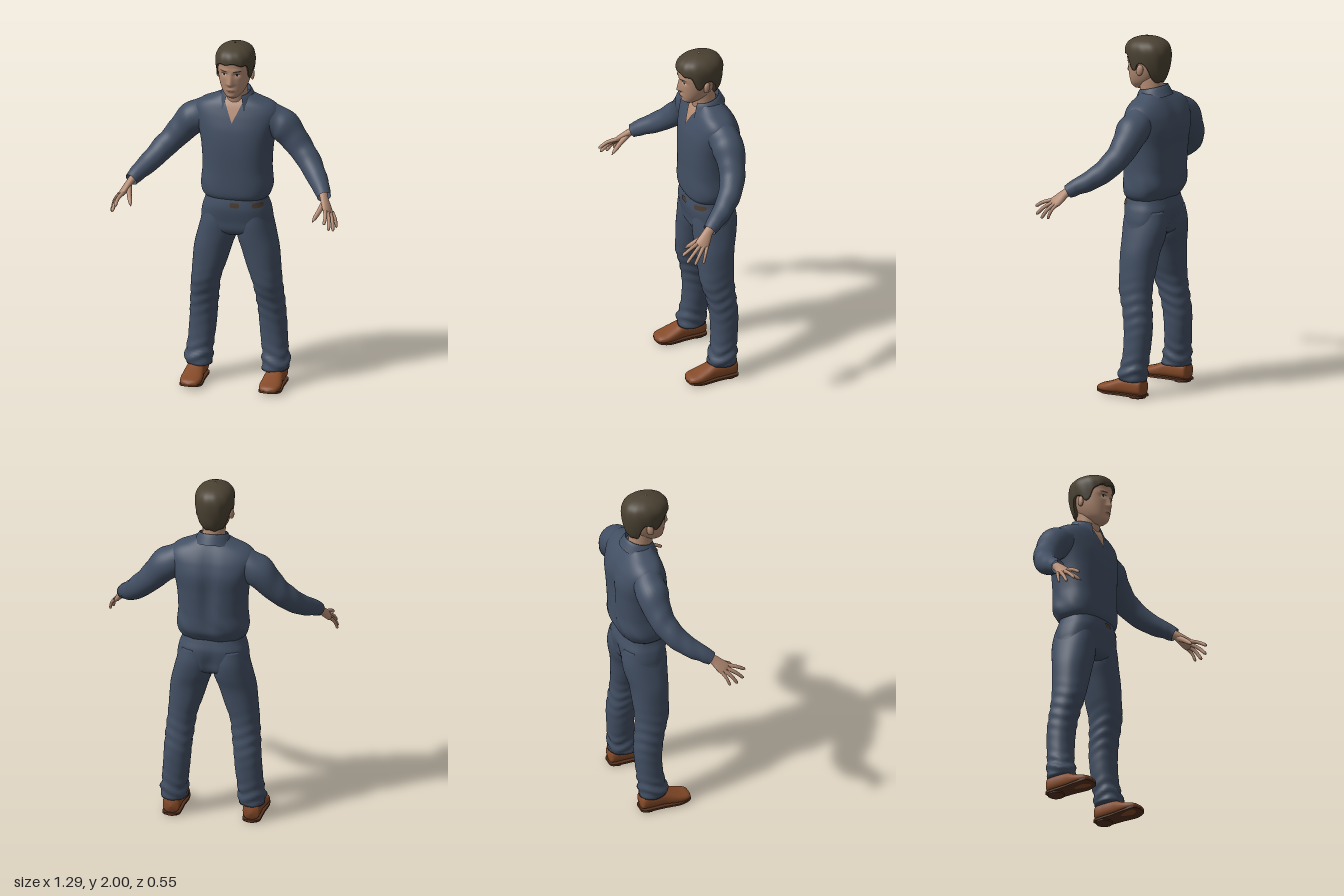
import * as THREE from 'three';

const V = (p) => new THREE.Vector3(...p);
const gauss = (d, w) => Math.exp(-(d * d) / (w * w));

// Smooth closed or open surface from a rule fn(u, v) -> [x, y, z]
function grid(nu, nv, fn, closed = true) {
  const pos = [], idx = [], cols = closed ? nu : nu + 1;
  for (let j = 0; j <= nv; j++) for (let i = 0; i < cols; i++) pos.push(...fn(i / nu, j / nv));
  for (let j = 0; j < nv; j++) for (let i = 0; i < nu; i++) {
    const a = j * cols + i, b = j * cols + ((i + 1) % cols), c = b + cols, d = a + cols;
    idx.push(a, b, c, a, c, d);
  }
  const g = new THREE.BufferGeometry();
  g.setAttribute('position', new THREE.Float32BufferAttribute(pos, 3));
  g.setIndex(idx);
  g.computeVertexNormals();
  return g;
}

// Smooth lookup in a table whose rows start with a rising key
function sample(table, k) {
  let i = 0;
  while (i < table.length - 2 && k > table[i + 1][0]) i++;
  const a = table[i], b = table[i + 1], p = table[i - 1] || a, n = table[i + 2] || b;
  const h = b[0] - a[0], t = Math.min(1, Math.max(0, (k - a[0]) / h));
  return a.slice(1).map((_, c) => {
    c += 1;
    const m0 = (b[c] - p[c]) / (b[0] - p[0]) * h, m1 = (n[c] - a[c]) / (n[0] - a[0]) * h;
    const t2 = t * t, t3 = t2 * t;
    return (2 * t3 - 3 * t2 + 1) * a[c] + (t3 - 2 * t2 + t) * m0 + (3 * t2 - 2 * t3) * b[c] + (t3 - t2) * m1;
  });
}

// Point on a horizontal ring; rows are [y, centre x, half width, front z, back z]
function ringPoint(table, p, u, y, grow = 1) {
  const [cx, hw, f, b] = sample(table, y), a = u * Math.PI * 2, s = Math.sin(a), c = Math.cos(a);
  const e = 2 / p;
  return [cx + grow * hw * Math.sign(s) * Math.abs(s) ** e, y,
    (f + b) / 2 + grow * (f - b) / 2 * Math.sign(c) * Math.abs(c) ** e];
}

// Body loft with closed ends and an optional rule for moving each point
function body(table, p, nu, nv, move = (q) => q) {
  const y0 = table[0][0], y1 = table[table.length - 1][0];
  return grid(nu, nv + 2, (u, v) => {
    const j = Math.round(v * (nv + 2)) - 1;
    const y = y0 + (y1 - y0) * Math.min(1, Math.max(0, j / nv));
    return j < 0 || j > nv ? ringPoint(table, p, u, y, 0) : move(ringPoint(table, p, u, y), u);
  });
}

function frontZ(table, p, x, y) {
  const [cx, hw, f, b] = sample(table, y);
  return (f + b) / 2 + (f - b) / 2 * (1 - Math.min(1, Math.abs((x - cx) / hw)) ** p) ** (1 / p);
}

// Thin oval or squarish plate lying on a front surface
function plate(surface, cx, cy, hw, hh, lift, e = 2, tilt = 0) {
  return grid(14, 4, (u, v) => {
    const t = u * 2 - 1, x = cx + t * hw;
    const y = cy + (v * 2 - 1) * hh * Math.sqrt(1 - Math.abs(t) ** e) + tilt * t * hw;
    return [x, y, surface(x, y) + lift];
  }, false);
}

// Tube along points with radii [across, thick]; ref sets the across direction
function limb(points, radii, ref, nu, nv, wrinkle = 0) {
  const curve = new THREE.CatmullRomCurve3(points.map(V));
  const table = radii.map((r, i) => [i / (radii.length - 1), ...[r].flat(), [r].flat()[0]]);
  return grid(nu, nv, (u, v) => {
    const T = curve.getTangent(v), N = V(ref).addScaledVector(T, -V(ref).dot(T)).normalize();
    const B = new THREE.Vector3().crossVectors(T, N), [rn, rb] = sample(table, v), a = u * Math.PI * 2;
    const k = 1 + wrinkle * Math.sin(v * 38 + 2 * Math.sin(a + 1)) * (0.4 + 0.6 * Math.sin(a + v * 5));
    return curve.getPoint(v).addScaledVector(N, rn * k * Math.cos(a)).addScaledVector(B, rb * k * Math.sin(a)).toArray();
  });
}

function mirrored(g) {
  const m = g.clone().scale(-1, 1, 1);
  const idx = m.index ? Array.from(m.index.array) : Array.from({ length: m.attributes.position.count }, (_, i) => i);
  for (let i = 0; i < idx.length; i += 3) [idx[i + 1], idx[i + 2]] = [idx[i + 2], idx[i + 1]];
  m.setIndex(idx);
  return m;
}

export function createModel() {
  const root = new THREE.Group();
  const material = (name, color) => Object.assign(new THREE.MeshStandardMaterial({ color, side: THREE.DoubleSide }), { name });
  const cloth = material('blueCloth', 0x424f63), skin = material('skin', 0xb48c74), hairMat = material('brownHair', 0x4a4132);
  const leather = material('shoeLeather', 0x854a28), soleMat = material('darkSole', 0x54301d), lipMat = material('lips', 0x96695a);
  const white = material('eyeWhite', 0xc9beb4), dark = material('darkEye', 0x2b221c), belt = material('beltBrown', 0x4b3b2e);
  const add = (name, g, m) => {
    const mesh = new THREE.Mesh(g, m);
    mesh.name = name;
    root.add(mesh);
  };
  const pair = (name, g, m) => { add(name + 'Left', g, m); add(name + 'Right', mirrored(g), m); };

  // Shirt with a bloused hem, soft folds and a groove down the back
  const shirt = [[1.095, 0, 0.165, 0.01, -0.22], [1.12, 0, 0.188, 0.025, -0.238], [1.17, 0, 0.2, 0.03, -0.262],
    [1.27, 0, 0.192, 0.03, -0.268], [1.4, 0, 0.2, 0.03, -0.275], [1.5, 0, 0.22, 0.02, -0.278], [1.57, 0, 0.238, 0, -0.258],
    [1.61, 0, 0.235, -0.015, -0.238], [1.645, 0, 0.2, -0.03, -0.215], [1.67, 0, 0.14, -0.045, -0.195], [1.7, 0, 0.075, -0.055, -0.175]];
  add('shirt', body(shirt, 2.5, 72, 60, ([x, y, z], u) => {
    const back = Math.max(0, -Math.cos(u * Math.PI * 2)), low = gauss(y - 1.16, 0.09), a = u * Math.PI * 2;
    const k = 1 + 0.02 * low * Math.sin(a * 7 + y * 40) * Math.sin(a * 3 + 1);
    return [x * k, y, z * k + back * 0.022 * gauss(x, 0.04) * gauss(y - 1.4, 0.2)];
  }), cloth);
  const shirtZ = (x, y) => frontZ(shirt, 2.5, x, y);

  // Open neckline
  add('openNeckline', grid(10, 14, (u, v) => {
    const y = 1.55 + 0.135 * v, x = (u * 2 - 1) * 0.06 * v;
    return [x, y, shirtZ(x, y) + 0.005];
  }, false), skin);

  // Folded collar
  add('collar', grid(48, 6, (u, v) => {
    const a = 0.55 + u * (2 * Math.PI - 1.1), f = (1 - Math.cos(a)) / 2;
    const [r, rz, y] = sample([[0, 0.07, 0.068, 1.66 + 0.02 * f], [0.35, 0.074, 0.072, 1.695 + 0.04 * f],
      [0.5, 0.08, 0.078, 1.695 + 0.04 * f], [1, 0.112, 0.108, 1.615 + 0.065 * f]], v);
    return [r * Math.sin(a), y, -0.108 + rz * Math.cos(a)];
  }, false), cloth);

  // Sleeves
  const sleeve = [[0.17, 1.56, -0.13], [0.26, 1.51, -0.135], [0.34, 1.42, -0.125], [0.41, 1.345, -0.09],
    [0.475, 1.275, -0.02], [0.525, 1.23, 0.055], [0.55, 1.202, 0.098]];
  pair('sleeve', limb(sleeve, [0.085, 0.09, 0.074, 0.066, 0.057, 0.046, 0.038], [0, 1, 0], 32, 60, 0.035), cloth);

  // Hands: palm, four fingers and thumb
  pair('palm', limb([[0.54, 1.215, 0.08], [0.556, 1.19, 0.112], [0.575, 1.16, 0.14], [0.59, 1.137, 0.163], [0.597, 1.125, 0.173]],
    [[0.026, 0.022], [0.028, 0.02], [0.036, 0.019], [0.037, 0.015], [0.012, 0.004]], [-0.4, 0.35, 0.85], 20, 20), skin);
  const tips = [[0.595, 1.105, 0.28], [0.617, 1.065, 0.262], [0.632, 1.05, 0.22], [0.64, 1.055, 0.172]];
  tips.forEach((tip, i) => {
    const t = i / 3, base = [0.575 + 0.03 * t, 1.152 - 0.018 * t, 0.178 - 0.042 * t];
    const mid = base.map((b, c) => (b + tip[c]) / 2 + [0.006, 0.006, 0.002][c]);
    const r = i === 3 ? 0.0085 : 0.01;
    const near = tip.map((q, c) => q * 0.85 + mid[c] * 0.15);
    pair('finger' + (i + 1), limb([base, mid, near, tip], [r * 1.15, r, r * 0.85, 0.001], [0, 1, 0], 12, 14), skin);
  });
  pair('thumb', limb([[0.556, 1.18, 0.118], [0.543, 1.148, 0.168], [0.526, 1.115, 0.212], [0.517, 1.096, 0.235]],
    [0.017, 0.014, 0.011, 0.001], [0, 1, 0], 12, 14), skin);

  // Trousers: hips and two legs
  const hips = [[0.885, 0, 0.1, -0.03, -0.19], [0.91, 0, 0.19, 0, -0.225], [0.97, 0, 0.2, 0.012, -0.24],
    [1.04, 0, 0.19, 0.024, -0.245], [1.08, 0, 0.176, 0.022, -0.235], [1.13, 0, 0.165, 0.012, -0.22]];
  add('trouserHips', body(hips, 2.5, 64, 24, ([x, y, z]) => [x, y, z < -0.12 ? z + 0.02 * gauss(x, 0.03) * gauss(y - 0.95, 0.07) : z]), cloth);
  const leg = [[0.095, 0.216, 0.072, -0.035, -0.195], [0.13, 0.22, 0.077, -0.035, -0.198], [0.2, 0.213, 0.073, -0.052, -0.202],
    [0.3, 0.203, 0.075, -0.06, -0.21], [0.4, 0.196, 0.076, -0.055, -0.215], [0.5, 0.187, 0.078, -0.038, -0.206],
    [0.6, 0.175, 0.081, -0.01, -0.2], [0.7, 0.154, 0.094, -0.003, -0.206], [0.8, 0.134, 0.105, 0.002, -0.216],
    [0.88, 0.112, 0.109, 0.006, -0.236], [0.96, 0.102, 0.098, 0.008, -0.246], [1.04, 0.098, 0.08, 0, -0.235]];
  pair('trouserLeg', body(leg, 2.2, 40, 70, ([x, y, z], u) => {
    const a = u * Math.PI * 2, w = 0.006 * gauss(y - 0.15, 0.07) + 0.003 * gauss(y - 0.5, 0.12);
    const k = w * Math.sin(y * 95 + 2 * Math.sin(a * 2));
    return [x + k * Math.sin(a), y, z + k * Math.cos(a)];
  }), cloth);
  const hipZ = (x, y) => frontZ(hips, 2.5, x, y);
  add('beltPatchCentre', plate(hipZ, 0.018, 1.076, 0.028, 0.014, 0.004, 6), belt);
  add('beltPatchSide', plate(hipZ, 0.14, 1.076, 0.028, 0.014, 0.004, 6), belt);

  // Shoes: rows are [z, half width, top height, underside height]
  const shoe = [[-0.2, 0.03, 0.09, 0.025], [-0.185, 0.046, 0.11, 0.016], [-0.13, 0.05, 0.115, 0.014], [-0.06, 0.052, 0.108, 0.014],
    [-0.01, 0.058, 0.086, 0.012], [0.04, 0.06, 0.066, 0.012], [0.08, 0.05, 0.054, 0.016], [0.095, 0.033, 0.044, 0.02], [0.1, 0.002, 0.033, 0.028]];
  pair('shoe', grid(28, 40, (u, v) => {
    const z = 0.1 - 0.3 * v, [hw, top, low] = sample(shoe, z), a = u * Math.PI * 2;
    const end = v === 1 ? 0 : 1, s = Math.sin(a), c = Math.cos(a);
    return [0.225 - end * hw * Math.sign(s) * Math.abs(s) ** 0.8 * -1, (top + low) / 2 + end * (top - low) / 2 * Math.sign(c) * Math.abs(c) ** 0.8, z];
  }), leather);
  const soleShape = new THREE.Shape(Array.from({ length: 41 }, (_, i) => {
    const t = i <= 20 ? i / 20 : (40 - i) / 20, z = -0.05 - 0.15 * Math.cos(Math.PI * t);
    return new THREE.Vector2((i <= 20 ? 1 : -1) * (sample(shoe, z)[0] + 0.002), -z);
  }));
  const sole = new THREE.ExtrudeGeometry(soleShape, { depth: 0.012, bevelEnabled: false });
  sole.rotateX(-Math.PI / 2).translate(0.225, 0.008, 0);
  const sp = sole.attributes.position;
  for (let i = 0; i < sp.count; i++) {
    const z = sp.getZ(i);
    sp.setY(i, sp.getY(i) + (z > 0.03 ? (z - 0.03) * 0.15 : 0));
  }
  sole.computeVertexNormals();
  pair('sole', sole, soleMat);
  pair('heel', new THREE.CylinderGeometry(0.046, 0.046, 0.02, 24).translate(0.225, 0.01, -0.15), soleMat);

  // Neck and head with brow, eye sockets, nose, lips and chin
  add('neck', body([[1.6, 0, 0.075, -0.045, -0.17], [1.68, 0, 0.064, -0.032, -0.165], [1.78, 0, 0.064, -0.02, -0.16]], 2, 32, 10), skin);
  const head = [[1.7, 0, 0.025, 0.012, -0.05], [1.715, 0, 0.042, 0.028, -0.075], [1.74, 0, 0.062, 0.034, -0.115], [1.78, 0, 0.079, 0.039, -0.15],
    [1.83, 0, 0.09, 0.043, -0.175], [1.88, 0, 0.094, 0.046, -0.185], [1.93, 0, 0.09, 0.043, -0.18], [1.97, 0, 0.065, 0.005, -0.14], [1.985, 0, 0.03, -0.04, -0.1]];
  const relief = (x, y) => {
    const ax = Math.abs(x), n = y > 1.79 ? Math.max(0, 1 - (y - 1.79) / 0.075) : Math.max(0, 1 - (1.79 - y) / 0.018);
    return 0.025 * n * gauss(x, 0.011 + 0.007 * n) + 0.004 * gauss(y - 1.868, 0.012) * gauss(ax - 0.03, 0.03)
      - 0.008 * gauss(ax - 0.036, 0.018) * gauss(y - 1.846, 0.013)
      + 0.006 * gauss(x, 0.022) * gauss(y - 1.752, 0.013) + 0.004 * gauss(x, 0.025) * gauss(y - 1.718, 0.013);
  };
  add('head', body(head, 2.2, 112, 64, ([x, y, z]) => [x, y, z > -0.05 ? z + relief(x, y) : z]), skin);
  const faceZ = (x, y) => frontZ(head, 2.2, x, y) + relief(x, y);
  pair('eyeWhite', plate(faceZ, 0.037, 1.845, 0.015, 0.007, 0.002), white);
  pair('iris', plate(faceZ, 0.037, 1.8455, 0.0065, 0.0065, 0.004), dark);
  pair('upperLid', plate(faceZ, 0.037, 1.8525, 0.017, 0.002, 0.004), dark);
  pair('eyebrow', plate(faceZ, 0.038, 1.868, 0.023, 0.004, 0.003, 2, 0.08), hairMat);
  add('lips', plate(faceZ, 0, 1.751, 0.024, 0.0075, 0.002), lipMat);
  add('mouthLine', plate(faceZ, 0, 1.752, 0.023, 0.0011, 0.004), belt);
  const ear = new THREE.SphereGeometry(1, 18, 14).scale(0.012, 0.032, 0.02).rotateX(-0.2).rotateY(0.3);
  pair('ear', ear.translate(0.095, 1.822, -0.078), skin);

  // Hair cap: fringe, sideburns, gap over the ears and nape
  const hair = [[1.73, 0, 0.07, 0.04, -0.155], [1.78, 0, 0.088, 0.048, -0.185], [1.84, 0, 0.101, 0.054, -0.2], [1.9, 0, 0.108, 0.06, -0.206],
    [1.94, 0, 0.104, 0.056, -0.2], [1.97, 0, 0.085, 0.032, -0.178], [1.99, 0, 0.05, -0.015, -0.135], [2, 0, 0.004, -0.065, -0.075]];
  const edge = [[0, 1.912], [0.7, 1.9], [0.95, 1.885], [1.15, 1.83], [1.4, 1.82], [1.55, 1.855], [1.9, 1.85], [2.2, 1.775], [2.6, 1.752], [3.15, 1.748]];
  add('hair', grid(96, 30, (u, v) => {
    const a = u * Math.PI * 2, low = sample(edge, Math.min(a, 2 * Math.PI - a))[0] + 0.004 * Math.sin(a * 9);
    const t = Math.max(0, (v * 30 - 1) / 29), y = low + (2 - low) * Math.sin(t * Math.PI / 2);
    const lock = 1 + 0.012 * Math.sin(a * 11 + y * 30) * Math.cos(t * Math.PI / 2);
    return ringPoint(hair, 2.15, u, y, v === 0 ? 0.82 : lock);
  }), hairMat);
  return root;
}
